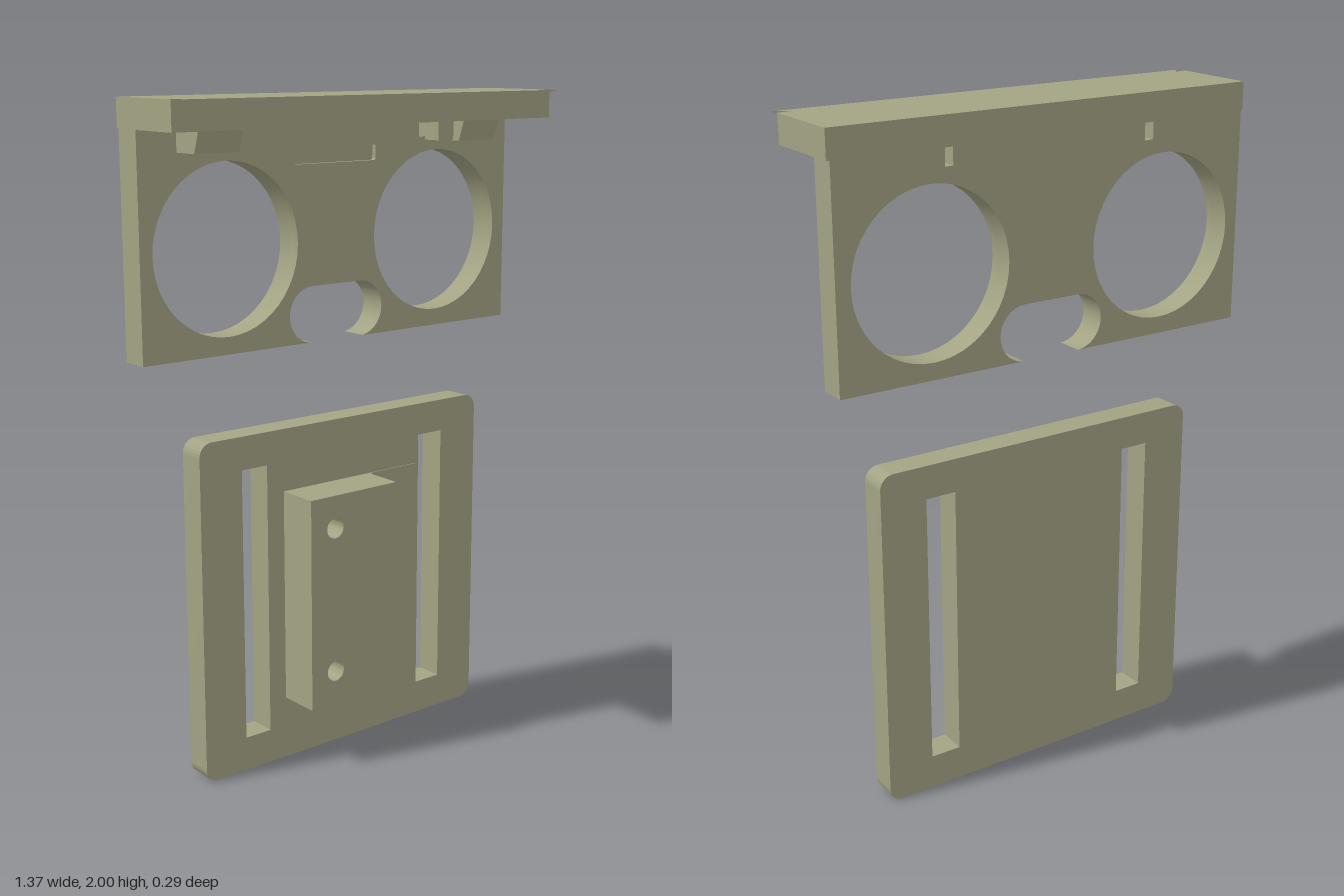
import * as THREE from 'three';
import { toCreasedNormals } from 'three/addons/utils/BufferGeometryUtils.js';

const material = new THREE.MeshStandardMaterial({ color: 0xa3a384 });
const BACK = -0.145, FRONT = -0.06;

function polygon(points) {
  return new THREE.Shape(points.map(([x, y]) => new THREE.Vector2(x, y)));
}

function rect(x0, x1, y0, y1) {
  return polygon([[x0, y0], [x1, y0], [x1, y1], [x0, y1]]);
}

function circle(x, y, r) {
  return new THREE.Path().absarc(x, y, r, 0, Math.PI * 2);
}

function roundedRect(x0, x1, y0, y1, r) {
  const s = new THREE.Shape();
  s.absarc(x1 - r, y0 + r, r, -Math.PI / 2, 0);
  s.absarc(x1 - r, y1 - r, r, 0, Math.PI / 2);
  s.absarc(x0 + r, y1 - r, r, Math.PI / 2, Math.PI);
  s.absarc(x0 + r, y0 + r, r, Math.PI, Math.PI * 1.5);
  s.closePath();
  return s;
}

function extrude(shape, depth, curveSegments = 24) {
  return new THREE.ExtrudeGeometry(shape, { depth, bevelEnabled: false, curveSegments });
}

function add(group, name, geometry) {
  const mesh = new THREE.Mesh(toCreasedNormals(geometry, 0.5), material);
  mesh.name = name;
  group.add(mesh);
}

// Shape drawn in x/y, thickened from z0 to z1
function slabZ(shape, z0, z1) {
  return extrude(shape, z1 - z0).translate(0, 0, z0);
}

// Shape drawn in x/-z, raised from y0 to y1
function slabY(shape, y0, y1) {
  return extrude(shape, y1 - y0).rotateX(-Math.PI / 2).translate(0, y0, 0);
}

// Shape drawn in -z/y, stretched from x0 to x1
function slabX(shape, x0, x1) {
  return extrude(shape, x1 - x0).rotateY(Math.PI / 2).translate(x0, 0, 0);
}

// Face outline with two round windows, bracket holes and a notch open at the bottom
function faceShape() {
  const s = new THREE.Shape();
  const bottom = 1.285, r = 0.083, cy = bottom + r;
  s.moveTo(-0.68, bottom);
  s.lineTo(-0.1, bottom);
  s.absarc(-0.098, cy, r, -Math.PI / 2 - 0.08, -Math.PI * 1.5, true);
  s.absarc(0.082, cy, r, Math.PI / 2, -Math.PI / 2 + 0.08, true);
  s.lineTo(0.09, bottom);
  s.lineTo(0.67, bottom);
  s.lineTo(0.67, 1.92);
  s.lineTo(-0.68, 1.92);
  s.closePath();
  s.holes.push(circle(-0.395, 1.58, 0.245), circle(0.38, 1.58, 0.245));
  s.holes.push(rect(-0.355, -0.325, 1.865, 1.915), rect(0.31, 0.335, 1.865, 1.915));
  return s;
}

function createUpper() {
  const g = new THREE.Group();
  g.name = 'upperHolder';

  // Face plate in two layers so that the front slot is a shallow recess
  add(g, 'facePlateBack', slabZ(faceShape(), BACK, FRONT - 0.015));
  const front = faceShape();
  front.holes.push(roundedRect(-0.16, 0.14, 1.803, 1.852, 0.006));
  add(g, 'facePlateFront', slabZ(front, FRONT - 0.015, FRONT));

  // Overhanging lid
  add(g, 'lid', slabY(rect(-0.685, 0.68, -0.12, 0.145), 1.917, 2));

  // Thin lip with flared ends
  const lip = new THREE.Shape();
  lip.moveTo(-0.65, -0.118);
  lip.quadraticCurveTo(-0.653, -0.138, -0.685, -0.148);
  lip.lineTo(0.68, -0.148);
  lip.quadraticCurveTo(0.64, -0.138, 0.637, -0.118);
  lip.closePath();
  add(g, 'lip', slabY(lip, 1.996, 2));

  // Sloped brackets under the lid, each with a small inner stop
  const wedge = polygon([[0.062, 1.853], [-0.025, 1.853], [-0.048, 1.92], [0.062, 1.92]]);
  for (const [x0, x1, s0, s1] of [[-0.555, -0.41, -0.41, -0.355], [0.395, 0.54, 0.335, 0.395]]) {
    add(g, 'bracket', slabX(wedge, x0, x1));
    add(g, 'bracketStop', slabZ(rect(s0, s1, 1.855, 1.92), FRONT - 0.002, 0.0));
  }
  return g;
}

function createLower() {
  const g = new THREE.Group();
  g.name = 'lowerHolder';

  // Strap plate with two long slots
  const plate = roundedRect(-0.505, 0.56, 0, 1.04, 0.042);
  plate.holes.push(rect(-0.36, -0.27, 0.105, 0.94), rect(0.32, 0.415, 0.105, 0.94));
  add(g, 'strapPlate', slabZ(plate, BACK, FRONT));

  // Shallow pad beside the block
  add(g, 'pad', slabZ(rect(0.1, 0.31, 0.195, 0.85), FRONT - 0.002, FRONT + 0.003));

  // Block profile with a rounded front edge and a fillet at the base
  const p = new THREE.Shape();
  p.moveTo(-0.21, 0.06);
  p.lineTo(0.142, 0.06);
  p.quadraticCurveTo(0.116, 0.058, 0.116, 0.035);
  p.lineTo(0.116, -0.058);
  p.quadraticCurveTo(0.116, -0.072, 0.102, -0.072);
  p.lineTo(-0.02, -0.072);
  p.lineTo(-0.02, 0);
  p.lineTo(-0.21, 0);
  p.closePath();
  add(g, 'mountBlock', slabY(p, 0.195, 0.85));

  // Drilled part of the block
  const drilled = rect(-0.21, -0.02, 0.195, 0.85);
  drilled.holes.push(circle(-0.12, 0.75, 0.031), circle(-0.12, 0.3, 0.031));
  add(g, 'drilledBlock', slabZ(drilled, 0, 0.072));
  return g;
}

export function createModel() {
  const model = new THREE.Group();
  model.name = 'holderSet';
  model.add(createUpper(), createLower());
  return model;
}
